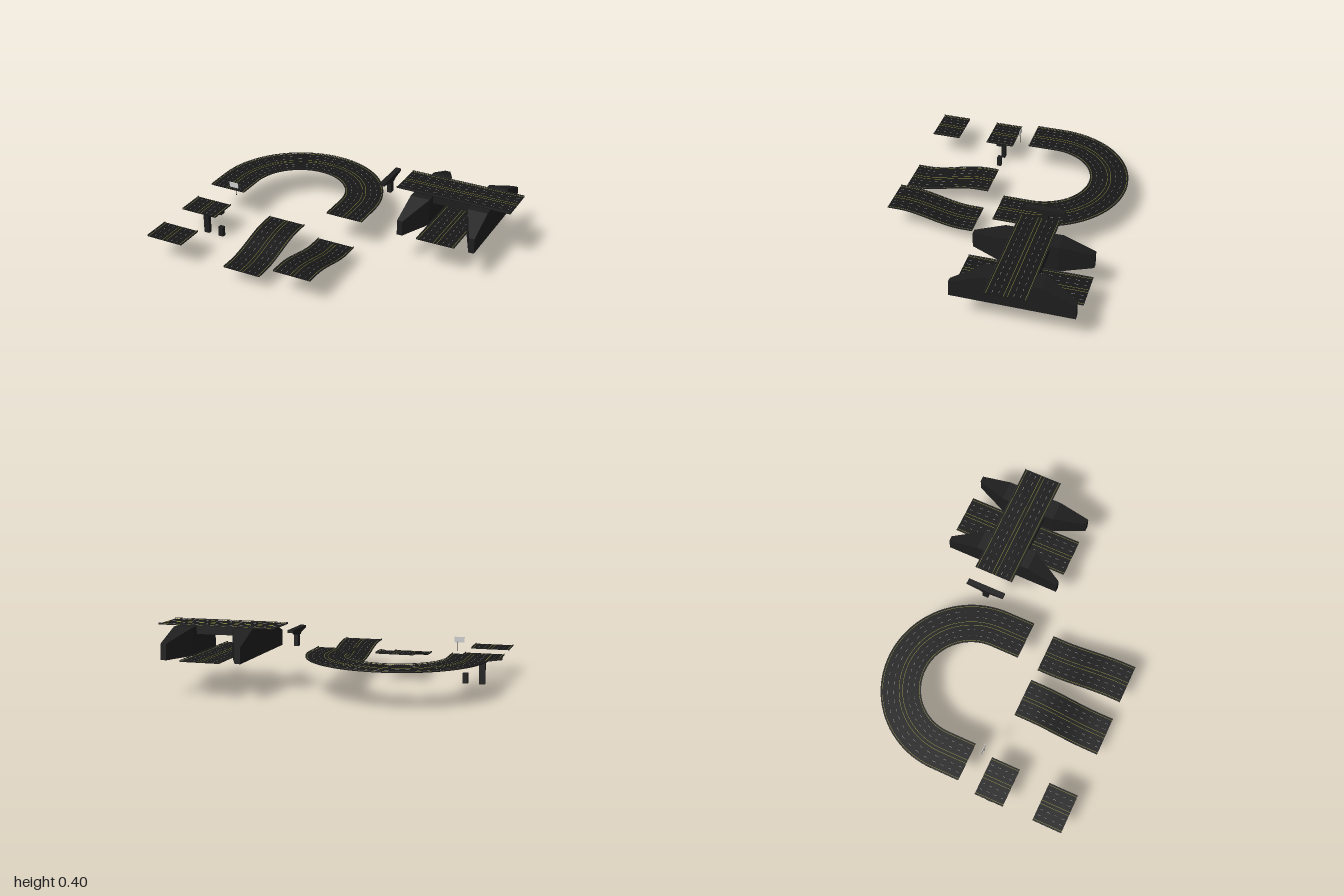
import * as THREE from 'three';
import { mergeGeometries } from 'three/addons/utils/BufferGeometryUtils.js';

const mat = (color) => new THREE.MeshStandardMaterial({ color });
const asphalt = mat(0x171717), concrete = mat(0x1d1d1d), steel = mat(0x2a2a2a);
const yellow = mat(0x8a8a3c), white = mat(0x999999), panelGrey = mat(0xcccccc);

const HALF = 0.123;   // half the road width
const DECK = 0.004;   // slab thickness

// Solid through four-cornered rings, each counter-clockwise seen from behind
function loft(rings) {
  const pos = [];
  const quad = (a, b, c, d) => [a, b, c, a, c, d].forEach((p) => pos.push(p.x, p.y, p.z));
  for (let i = 0; i < rings.length - 1; i++) {
    const r = rings[i], q = rings[i + 1];
    for (let j = 0; j < 4; j++) {
      const k = (j + 1) % 4;
      quad(r[j], q[j], q[k], r[k]);
    }
  }
  const e = rings[rings.length - 1];
  quad(...rings[0]);
  quad(e[3], e[2], e[1], e[0]);
  const g = new THREE.BufferGeometry();
  g.setAttribute('position', new THREE.Float32BufferAttribute(pos, 3));
  g.computeVertexNormals();
  return g;
}

// Rectangular section (offsets a..b, heights y0..y1) swept along a path
function sweep(path, s0, s1, steps, a, b, y0, y1) {
  const rings = [];
  for (let i = 0; i <= steps; i++) {
    const { x, y, z, tx, tz } = path(s0 + ((s1 - s0) * i) / steps);
    const at = (o, h) => new THREE.Vector3(x - tz * o, y + h, z + tx * o);
    rings.push([at(a, y0), at(b, y0), at(b, y1), at(a, y1)]);
  }
  return loft(rings);
}

function add(parent, name, geometry, material, x = 0, y = 0, z = 0) {
  const mesh = new THREE.Mesh(geometry, material);
  mesh.name = name;
  mesh.position.set(x, y, z);
  parent.add(mesh);
  return mesh;
}

// Six-lane road: slab, painted lines and guard rails on posts
function road(name, path, length, steps) {
  const g = new THREE.Group();
  g.name = name;
  const top = DECK + 0.0008;
  const strip = (o, w, y0, y1) => sweep(path, 0, length, steps, o - w / 2, o + w / 2, y0, y1);
  add(g, 'roadDeck', sweep(path, 0, length, steps, -HALF, HALF, 0, DECK), asphalt);
  add(g, 'solidLines', mergeGeometries(
    [-0.112, -0.011, 0.011, 0.112].map((o) => strip(o, 0.0025, DECK, top))), yellow);

  const dashes = [], posts = [];
  const nDash = Math.round(length / 0.052), pitch = length / nDash;
  for (let i = 0; i < nDash; i++) {
    for (const o of [-0.08, -0.043, 0.043, 0.08]) {
      dashes.push(sweep(path, (i + 0.3) * pitch, (i + 0.7) * pitch, 2, o - 0.001, o + 0.001, DECK, top));
    }
  }
  add(g, 'laneDashes', mergeGeometries(dashes), white);

  const nPost = Math.round(length / 0.016);
  for (let i = 0; i <= nPost; i++) {
    const s = 0.001 + ((length - 0.004) * i) / nPost;
    for (const o of [-HALF + 0.0015, HALF - 0.0015]) {
      posts.push(sweep(path, s, s + 0.002, 1, o - 0.001, o + 0.001, DECK, 0.008));
    }
  }
  add(g, 'railPosts', mergeGeometries(posts), steel);
  add(g, 'guardRails', mergeGeometries(
    [-HALF + 0.0015, HALF - 0.0015].map((o) => strip(o, 0.003, 0.007, 0.0105))), steel);
  return g;
}

const alongZ = (x, y, z) => (s) => ({ x, y, z: z - s, tx: 0, tz: -1 });
const alongX = (x, y, z) => (s) => ({ x: x + s, y, z, tx: 1, tz: 0 });

// S-shaped ramp between two heights
const rampPath = (x, yFront, yBack) => (s) => {
  const t = THREE.MathUtils.smoothstep(s, 0.07, 0.48);
  return { x, y: yFront + (yBack - yFront) * t, z: 0.703 - s, tx: 0, tz: -1 };
};

// Half circle with a straight run at each end
const R = 0.425, RUN = 0.18, ARC = Math.PI * R;
const bendPath = (s) => {
  const cx = -0.425, cz = -0.16, y = 0.217;
  if (s < RUN) return { x: cx - R, y, z: cz + RUN - s, tx: 0, tz: -1 };
  if (s > RUN + ARC) return { x: cx + R, y, z: cz + s - RUN - ARC, tx: 0, tz: 1 };
  const a = (s - RUN) / R;
  return { x: cx - R * Math.cos(a), y, z: cz - R * Math.sin(a), tx: Math.sin(a), tz: -Math.cos(a) };
};

// T-shaped support with a flared cap; the origin is at the cap's top centre
function pier(name, height) {
  const g = new THREE.Group();
  g.name = name;
  const half = [[0.019, -0.04], [0.04, -0.028], [0.1, -0.019], [0.122, -0.016], [0.122, 0]];
  const points = [...half, ...half.map(([x, y]) => [-x, y]).reverse()];
  const shape = new THREE.Shape(points.map(([x, y]) => new THREE.Vector2(x, y)));
  const cap = new THREE.ExtrudeGeometry(shape, { depth: 0.035, bevelEnabled: false });
  add(g, 'pierCap', cap.translate(0, 0, -0.0175), concrete);
  const h = height - 0.035;
  add(g, 'pierColumn', new THREE.BoxGeometry(0.037, h, 0.027), concrete, 0, -0.035 - h / 2, 0);
  return g;
}

// Overpass wall: tapered wings at both ends, full width in the middle
function abutment(side) {
  const cx = 0.626, outer = cx + side * 0.25;
  const stations = [[0.055, 0.035, 0.315], [-0.14, 0.125, 0.391], [-0.488, 0.125, 0.391], [-0.685, 0.035, 0.315]];
  return loft(stations.map(([z, width, top]) => {
    const inner = outer - side * width;
    const a = Math.min(inner, outer), b = Math.max(inner, outer);
    return [[a, 0.218], [b, 0.218], [b, top], [a, top]].map(([x, y]) => new THREE.Vector3(x, y, z));
  }));
}

export function createModel() {
  const model = new THREE.Group();
  model.name = 'highwayKit';

  // Roads
  model.add(
    road('bendRoad', bendPath, ARC + 2 * RUN, 96),
    road('straightRoadBack', alongZ(-0.876, 0.175, 0.323), 0.184, 1),
    road('straightRoadFront', alongZ(-0.876, 0.174, 0.703), 0.186, 1),
    road('rampUp', rampPath(-0.332, 0.105, 0.174), 0.553, 32),
    road('rampDown', rampPath(0.011, 0.174, 0.105), 0.553, 32),
  );

  // Overpass
  const overpass = new THREE.Group();
  overpass.name = 'overpass';
  for (const side of [-1, 1]) add(overpass, side > 0 ? 'leftAbutment' : 'rightAbutment', abutment(side), concrete);
  add(overpass, 'bridgeGirder', new THREE.BoxGeometry(0.252, 0.048, 0.24), concrete, 0.626, 0.367, -0.316);
  overpass.add(
    road('upperRoad', alongX(0.254, 0.391, -0.316), 0.746, 1),
    road('lowerRoad', alongZ(0.626, 0.216, 0.052), 0.752, 1),
  );
  model.add(overpass);

  // Supports
  const tallPier = pier('tallPier', 0.175);
  tallPier.position.set(-0.876, 0.175, 0.235);
  const shortPier = pier('shortPier', 0.11);
  shortPier.position.set(0.152, 0.391, -0.322);
  shortPier.rotation.y = Math.PI / 2;
  model.add(tallPier, shortPier);
  add(model, 'columnExtension', new THREE.BoxGeometry(0.033, 0.065, 0.027), concrete, -0.77, 0.0325, 0.235);

  // Road sign
  const sign = new THREE.Group();
  sign.name = 'roadSign';
  add(sign, 'signPanel', new THREE.BoxGeometry(0.062, 0.034, 0.003), panelGrey, -0.757, 0.297, 0.086);
  add(sign, 'signPost', new THREE.CylinderGeometry(0.0018, 0.0018, 0.06, 8), steel, -0.743, 0.256, 0.084);
  model.add(sign);

  return model;
}
